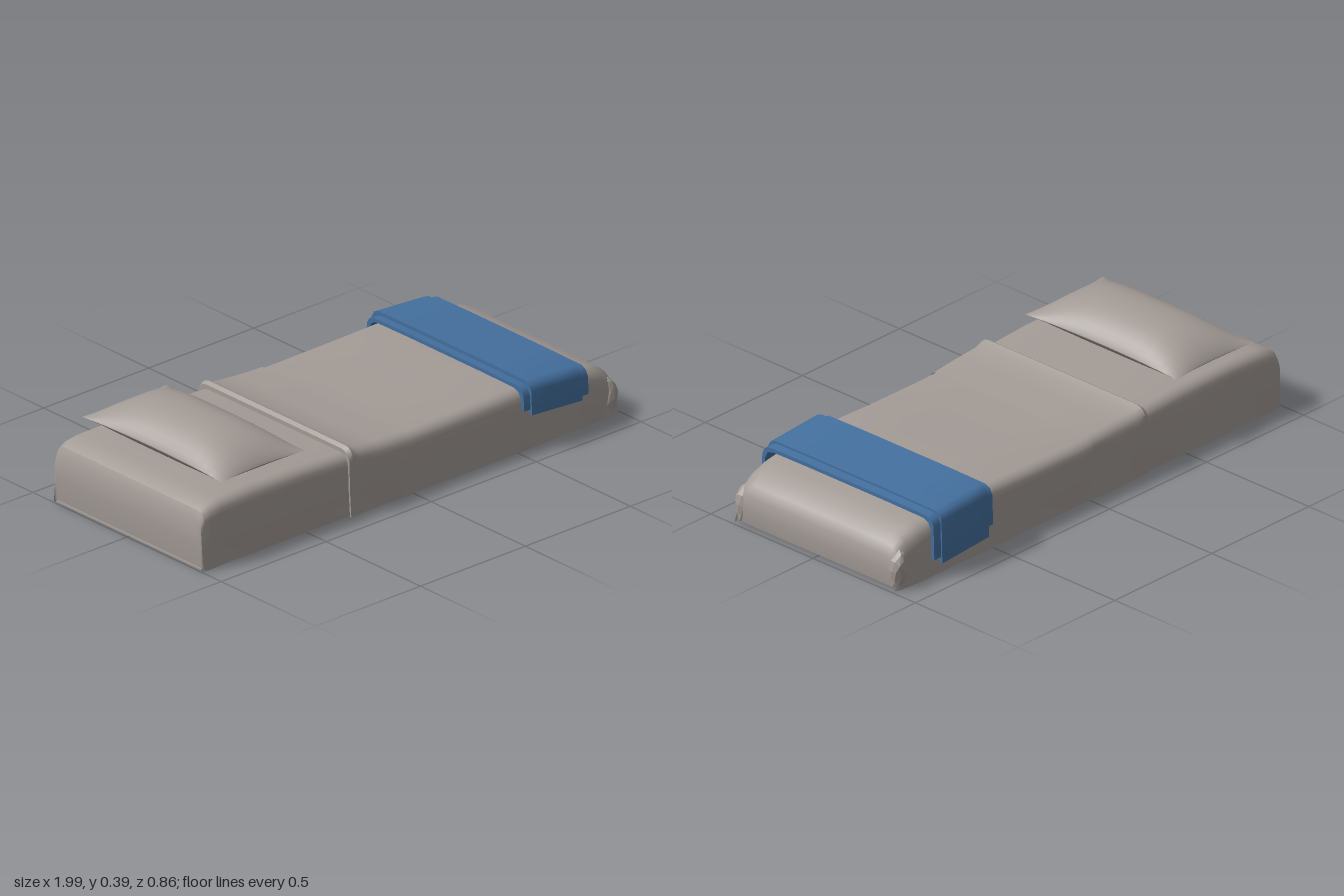
import * as THREE from 'three';
import { toCreasedNormals } from 'three/addons/utils/BufferGeometryUtils.js';

const linen = new THREE.MeshStandardMaterial({ color: 0xa39b96, side: THREE.DoubleSide });
linen.name = 'warm grey linen';
const blue = new THREE.MeshStandardMaterial({ color: 0x44709f, side: THREE.DoubleSide });
blue.name = 'blue wool';

function add(group, name, geometry, material) {
  const mesh = new THREE.Mesh(geometry, material);
  mesh.name = name;
  group.add(mesh);
  return mesh;
}

// Indexed surface from equal-length rows of [x, y, z] points
function surface(rows, crease) {
  const n = rows[0].length, index = [];
  for (let i = 0; i < rows.length - 1; i++) {
    for (let j = 0; j < n - 1; j++) {
      const a = i * n + j, b = a + n;
      index.push(a, b, a + 1, b, b + 1, a + 1);
    }
  }
  const g = new THREE.BufferGeometry();
  g.setAttribute('position', new THREE.Float32BufferAttribute(rows.flat(2), 3));
  g.setIndex(index);
  g.computeVertexNormals();
  return crease ? toCreasedNormals(g, crease) : g;
}

// Open-bottomed rounded arch across the bed: half width w, height h, corner r
function arch(x, h, w, radius) {
  const r = Math.min(radius, h * 0.45), half = [[w + 0.006, 0.004], [w + 0.003, h * 0.35]];
  for (let k = 0; k <= 4; k++) {
    const t = (k / 4) * Math.PI / 2;
    half.push([w - r + r * Math.cos(t), h - r + r * Math.sin(t)]);
  }
  half.push([w * 0.4, h]);
  const mirrored = half.map(([z, y]) => [-z, y]).reverse();
  return [...half, ...mirrored].map(([z, y]) => {
    const wave = 0.003 * Math.sin(19 * x + 13 * y + 2 * Math.sign(z));
    return [x, y, z + Math.sign(z) * wave];
  });
}

const shell = (sections) => surface(sections.map((s) => arch(...s)), 0.6);

// One half of the pillow, bulging up (sign 1) or down (sign -1)
function pillowHalf(sign) {
  const rows = [], n = 16;
  for (let i = 0; i <= n; i++) {
    const u = -Math.cos((i / n) * Math.PI), row = [];
    for (let j = 0; j <= n; j++) {
      const v = Math.cos((j / n) * Math.PI) * sign;
      const puff = Math.pow(Math.max(0, 1 - Math.abs(u) ** 2.4), 0.75)
        * Math.pow(Math.max(0, 1 - Math.abs(v) ** 3.2), 0.8);
      const y = sign > 0 ? 0.3 + 0.09 * puff : Math.max(0.252, 0.3 - 0.07 * puff);
      row.push([
        -0.67 + 0.2 * u * (1 - 0.08 * (1 - v * v)),
        y,
        -0.013 + 0.37 * v * (1 - 0.04 * (1 - u * u)),
      ]);
    }
    rows.push(row);
  }
  return surface(rows);
}

// Blanket layer draped over the bed; hems hang to front and back heights
function drape(x0, x1, top, out, front, back) {
  const t = 0.014, c = 0.035;
  const outer = [[out + 0.004, front], [out, top - c], [out - 0.012, top - 0.012], [out - c, top - 0.002],
    [0.2, top], [-0.2, top], [-out + c, top - 0.002], [-out + 0.012, top - 0.012], [-out, top - c], [-out - 0.004, back]];
  const inner = outer.map(([z, y], i) => {
    const hem = i === 0 || i === outer.length - 1;
    return [z - Math.sign(z) * (Math.abs(z) > 0.3 ? t : 0), hem ? y : y - t];
  }).reverse();
  const shape = new THREE.Shape([...outer, ...inner].map(([z, y]) => new THREE.Vector2(-z, y)));
  const g = new THREE.ExtrudeGeometry(shape, { depth: x1 - x0, bevelEnabled: false, steps: 3 });
  g.rotateY(Math.PI / 2).translate(x0, 0, 0);
  // follow the slope toward the foot
  const p = g.attributes.position;
  for (let i = 0; i < p.count; i++) p.setY(i, p.getY(i) - 0.07 * (p.getX(i) - 0.62));
  return toCreasedNormals(g, 0.7);
}

export function createModel() {
  const model = new THREE.Group();
  model.name = 'bedding';

  // Fitted sheet over the head of the mattress
  add(model, 'headSheet', shell([
    [-0.99, 0.012, 0.385, 0.03], [-0.998, 0.1, 0.388, 0.03], [-0.995, 0.19, 0.39, 0.04],
    [-0.98, 0.225, 0.393, 0.045], [-0.95, 0.241, 0.395, 0.045], [-0.9, 0.25, 0.395, 0.045],
    [-0.75, 0.253, 0.393, 0.045], [-0.5, 0.25, 0.393, 0.045], [-0.26, 0.238, 0.393, 0.045],
  ]), linen);

  // Cover from the fold to the sloping foot
  add(model, 'cover', shell([
    [-0.29, 0.24, 0.398, 0.045], [-0.1, 0.232, 0.4, 0.045], [0.05, 0.229, 0.4, 0.045],
    [0.3, 0.232, 0.4, 0.045], [0.55, 0.238, 0.4, 0.045], [0.72, 0.23, 0.398, 0.05],
    [0.85, 0.213, 0.396, 0.06], [0.92, 0.195, 0.394, 0.065], [0.96, 0.165, 0.392, 0.065],
    [0.98, 0.125, 0.388, 0.05], [0.986, 0.07, 0.385, 0.03], [0.98, 0.012, 0.385, 0.005],
  ]), linen);

  // Turned-back flap with a raised lip
  add(model, 'foldedFlap', shell([
    [-0.3, 0.236, 0.396, 0.045], [-0.3, 0.256, 0.403, 0.045], [-0.285, 0.265, 0.405, 0.045],
    [-0.25, 0.25, 0.404, 0.045], [-0.15, 0.242, 0.404, 0.045], [-0.02, 0.234, 0.403, 0.045],
  ]), linen);

  // Fabric folds under the top and the hem at the head
  for (const x of [-0.23, 0.24]) {
    const fold = add(model, 'innerFold', new THREE.BoxGeometry(0.07, 0.006, 0.74), linen);
    fold.position.set(x, 0.221, 0);
  }
  const hem = add(model, 'headHem', new THREE.BoxGeometry(0.035, 0.006, 0.77), linen);
  hem.position.set(-0.975, 0.007, 0);

  // Gathered corners at the foot
  for (const side of [-1, 1]) {
    const g = new THREE.IcosahedronGeometry(1, 1);
    g.scale(0.036, 0.075, 0.034);
    const p = g.attributes.position;
    for (let i = 0; i < p.count; i++) {
      const y = p.getY(i);
      p.setX(i, p.getX(i) * (1 - 4 * y) + 0.006 * Math.sin(70 * y));
    }
    g.computeVertexNormals();
    const corner = add(model, 'tuckedCorner', g, linen);
    corner.position.set(0.955, 0.078, side * 0.374);
  }

  // Pillow with a pinched seam
  const pillow = new THREE.Group();
  pillow.name = 'pillow';
  add(pillow, 'pillowTop', pillowHalf(1), linen);
  add(pillow, 'pillowBottom', pillowHalf(-1), linen);
  // upper half runs +z to -z, lower half the other way, so both face outward
  model.add(pillow);

  // Folded blanket in overlapping layers
  const blanket = new THREE.Group();
  blanket.name = 'blanket';
  add(blanket, 'blanketUnder', drape(0.515, 0.74, 0.25, 0.416, 0.16, 0.1), blue);
  add(blanket, 'blanketUpper', drape(0.545, 0.785, 0.266, 0.424, 0.14, 0.065), blue);
  add(blanket, 'blanketEdge', drape(0.69, 0.82, 0.258, 0.418, 0.155, 0.09), blue);
  model.add(blanket);

  return model;
}
